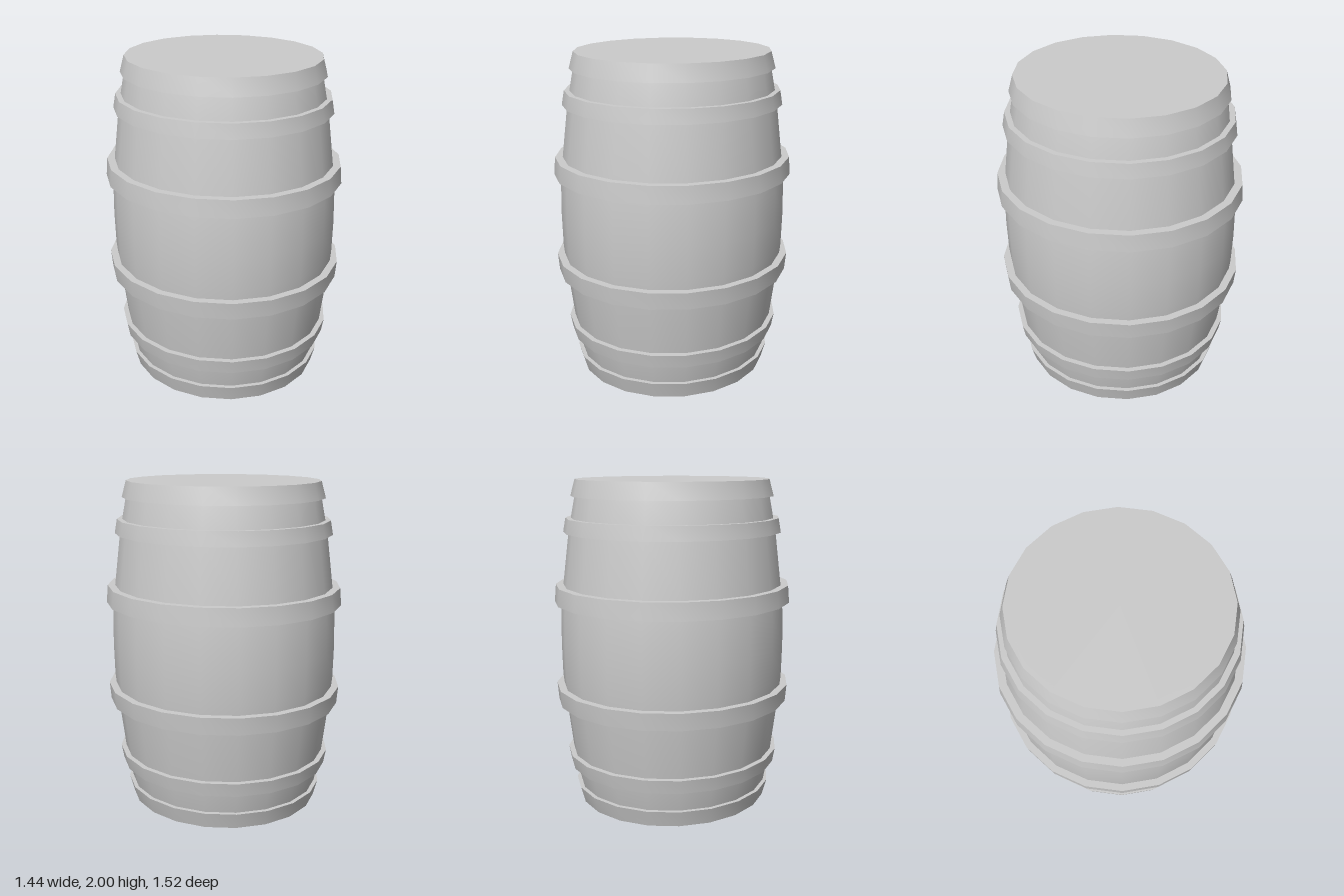
import * as THREE from 'three';
import { toCreasedNormals } from 'three/addons/utils/BufferGeometryUtils.js';

const SIDES = 20;
const DEPTH = 1.05; // the barrel is slightly deeper than wide
const material = new THREE.MeshStandardMaterial({ color: 0xcccccc });

// Revolve a [radius, y] profile (listed bottom to top on the outside)
function turned(name, profile) {
  const points = profile.map(([r, y]) => new THREE.Vector2(r, y));
  const geometry = new THREE.LatheGeometry(points, SIDES);
  geometry.scale(1, 1, DEPTH);
  const mesh = new THREE.Mesh(toCreasedNormals(geometry, Math.PI / 6), material);
  mesh.name = name;
  return mesh;
}

export function createModel() {
  const barrel = new THREE.Group();
  barrel.name = 'barrel';

  // Bulging body with flat ends, mirrored about y = 1
  const lower = [[0, 0], [0.56, 0], [0.59, 0.11], [0.628, 0.31], [0.668, 0.64], [0.684, 0.8]];
  const upper = lower.map(([r, y]) => [r, 2 - y]).reverse();
  barrel.add(turned('body', [...lower, [0.688, 1], ...upper]));

  // Hoops: [name, y bottom, y top, outer radius bottom, outer radius top, inner radius]
  const hoops = [
    ['EndHoop', 0, 0.1, 0.585, 0.612, 0.55],
    ['QuarterHoop', 0.23, 0.315, 0.645, 0.66, 0.59],
    ['BilgeHoop', 0.635, 0.74, 0.713, 0.722, 0.65],
  ];
  for (const [name, y0, y1, r0, r1, inner] of hoops) {
    const bottom = [[inner, y0], [r0, y0], [r1, y1], [inner, y1]];
    const top = bottom.map(([r, y]) => [r, 2 - y]).reverse();
    barrel.add(turned('lower' + name, bottom), turned('upper' + name, top));
  }
  return barrel;
}
